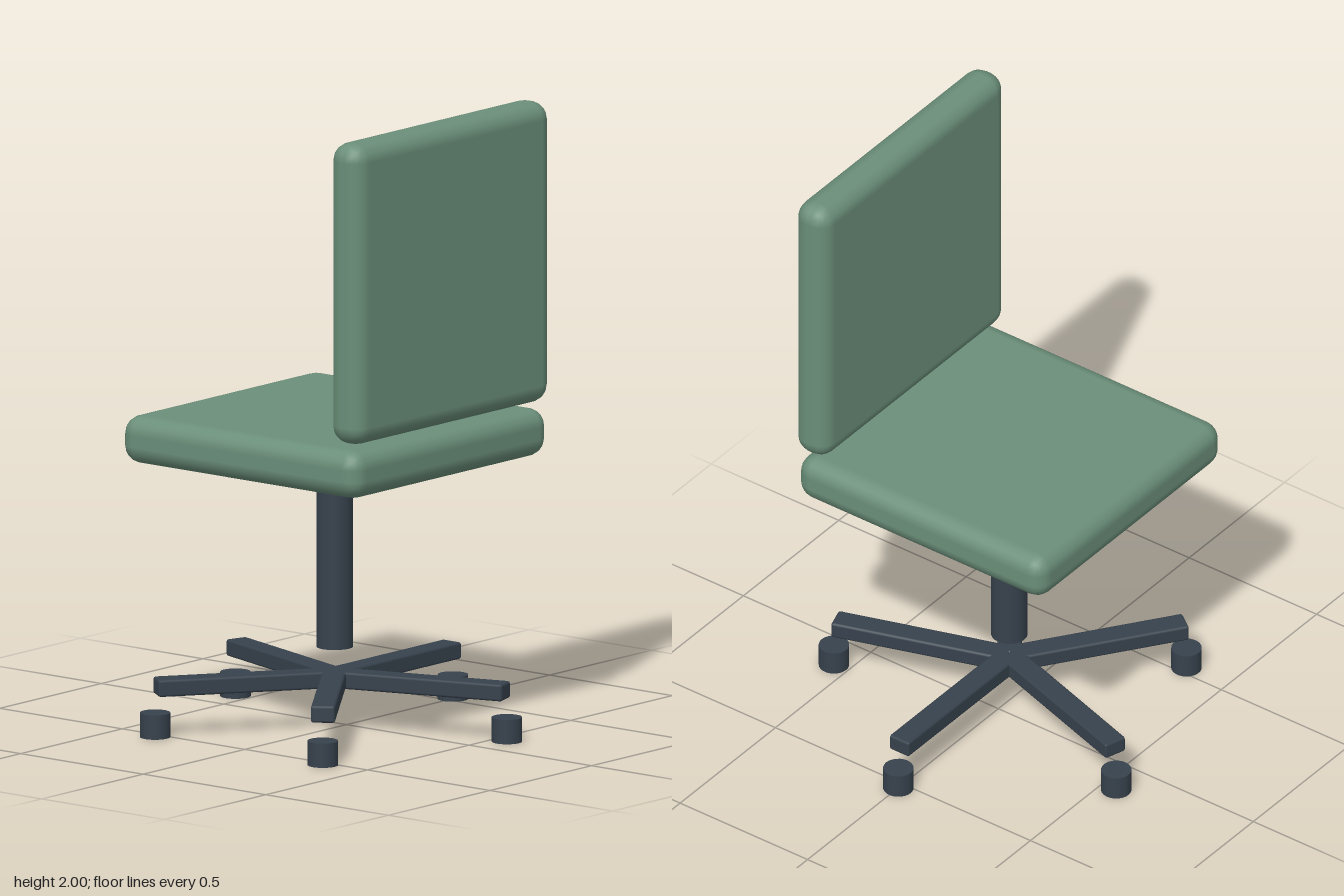
import * as THREE from 'three';
import { RoundedBoxGeometry } from 'three/addons/geometries/RoundedBoxGeometry.js';

export function createModel() {
  const model = new THREE.Group();
  model.name = 'officeChair';
  const fabric = new THREE.MeshStandardMaterial({ color: 0x6b8f7a });
  fabric.name = 'green fabric';
  const metal = new THREE.MeshStandardMaterial({ color: 0x37424d });
  metal.name = 'dark metal';

  const add = (name, geometry, material, x, y, z, parent = model) => {
    const mesh = new THREE.Mesh(geometry, material);
    mesh.name = name;
    mesh.position.set(x, y, z);
    parent.add(mesh);
    return mesh;
  };

  const axis = -0.058; // x of the swivel axis

  // Cushions
  add('seat', new RoundedBoxGeometry(0.966, 0.154, 0.97, 2, 0.058), fabric, axis, 0.937, 0);
  add('backrest', new RoundedBoxGeometry(0.966, 0.966, 0.132, 2, 0.058), fabric, axis, 1.517, 0.43);

  // Column
  add('column', new THREE.CylinderGeometry(0.058, 0.058, 0.58, 24), metal, axis, 0.55, 0);

  // Five-star base: each spoke holds an arm and a caster
  const length = 0.58;
  const armGeometry = new RoundedBoxGeometry(length, 0.054, 0.077, 1, 0.008);
  const casterGeometry = new THREE.CylinderGeometry(0.048, 0.048, 0.078, 24);
  for (let i = 0; i < 5; i++) {
    const spoke = new THREE.Group();
    spoke.name = `baseSpoke${i + 1}`;
    spoke.position.x = axis;
    spoke.rotation.y = (i * Math.PI * 2) / 5;
    add('arm', armGeometry, metal, length / 2, 0.16, 0, spoke);
    add('caster', casterGeometry, metal, 0.582, 0.039, 0, spoke);
    model.add(spoke);
  }
  return model;
}
